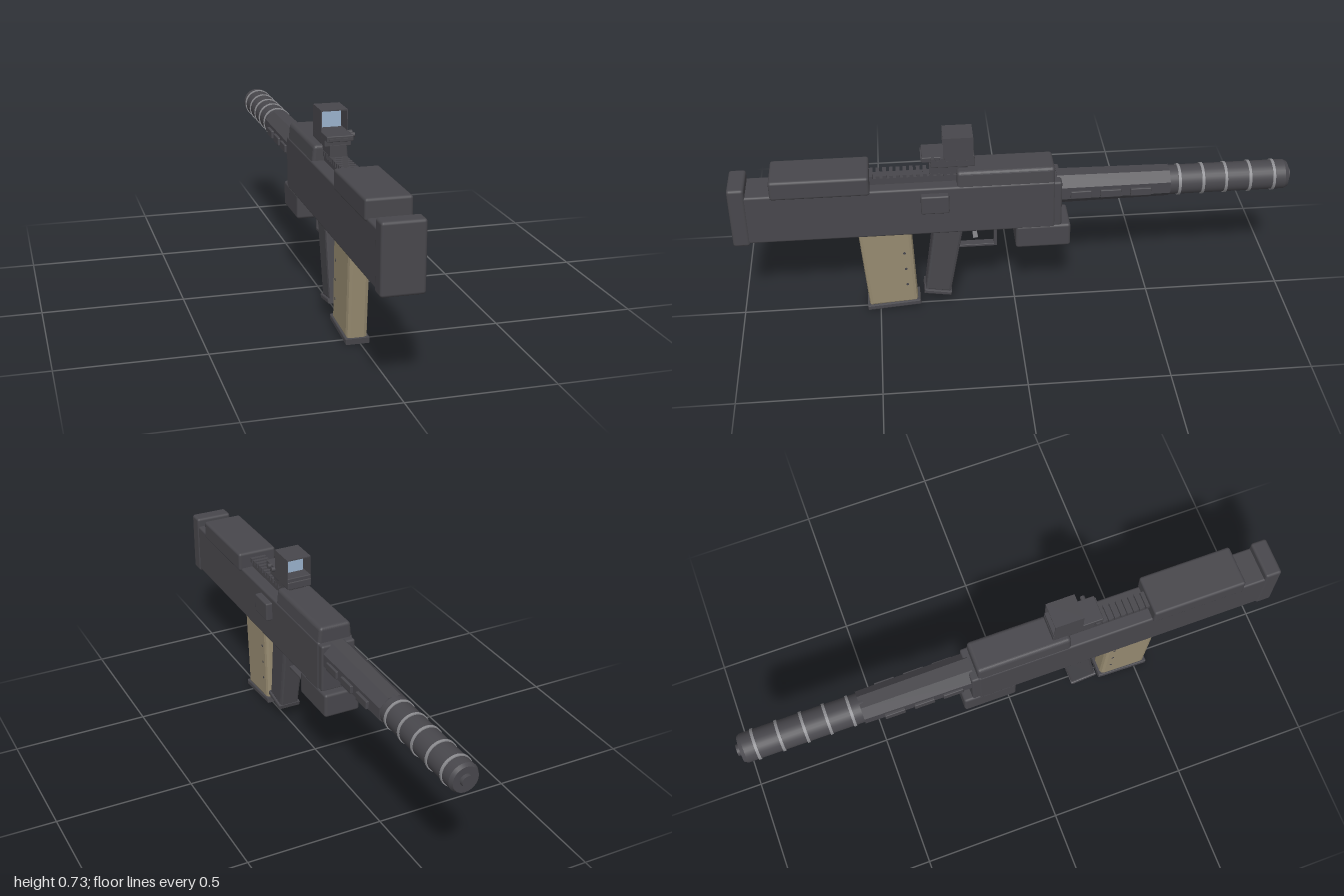
import * as THREE from 'three';
import { RoundedBoxGeometry } from 'three/addons/geometries/RoundedBoxGeometry.js';

const CX = -0.009; // lateral centre line of the main parts

export function createModel() {
  const root = new THREE.Group();
  const mat = (name, color, side = THREE.FrontSide) => {
    const m = new THREE.MeshStandardMaterial({ color, side });
    m.name = name;
    return m;
  };
  const dark = mat('charcoal', 0x48474c);
  const tan = mat('tan', 0x968a70);
  const metal = mat('light metal', 0x8c8c90);
  const glass = mat('lens blue', 0x9ab2cc, THREE.DoubleSide);

  const add = (name, geo, material = dark, parent = root) => {
    const mesh = new THREE.Mesh(geo, material);
    mesh.name = name;
    parent.add(mesh);
    return mesh;
  };
  // box from its limits on each axis, with optional rounding
  const box = (name, x, y, z, r = 0, material = dark, parent = root) => {
    const s = [x, y, z].map(([a, b]) => b - a);
    const geo = r ? new RoundedBoxGeometry(...s, 2, r) : new THREE.BoxGeometry(...s);
    const m = add(name, geo, material, parent);
    m.position.set((x[0] + x[1]) / 2, (y[0] + y[1]) / 2, (z[0] + z[1]) / 2);
    return m;
  };
  // side profile of [z, y] points, extruded across x with bevelled edges
  const sideProfile = (pts, width, bevel) => {
    const shape = new THREE.Shape(pts.map(([z, y]) => new THREE.Vector2(-z, y)));
    const geo = new THREE.ExtrudeGeometry(shape, {
      depth: width - 2 * bevel, bevelEnabled: bevel > 0, bevelSize: bevel,
      bevelThickness: bevel, bevelOffset: -bevel, bevelSegments: 2,
    });
    geo.translate(0, 0, bevel - width / 2);
    geo.rotateY(Math.PI / 2);
    return geo;
  };
  // cylinder or prism lying along z
  const tube = (name, r0, r1, z0, z1, sides = 32, material = dark) => {
    const geo = new THREE.CylinderGeometry(r1, r0, z0 - z1, sides);
    if (sides < 12) geo.rotateY(Math.PI / sides);
    geo.rotateX(-Math.PI / 2);
    const m = add(name, sides < 12 ? flat(geo) : geo, material);
    m.position.set(CX, 0.485, (z0 + z1) / 2);
    return m;
  };
  const flat = (geo) => {
    const g = geo.toNonIndexed();
    g.computeVertexNormals();
    return g;
  };

  // main body
  box('receiver', [-0.077, 0.059], [0.35, 0.542], [-0.14, 0.95], 0.008);
  box('receiverFrontCollar', [-0.074, 0.056], [0.355, 0.538], [-0.165, -0.12], 0.008);
  box('buttPlate', [-0.08, 0.0625], [0.342, 0.575], [0.94, 1.0], 0.01);
  box('cheekRest', [-0.085, 0.068], [0.53, 0.603], [0.51, 0.855], 0.01);
  box('sideCover', [0.05, 0.083], [0.45, 0.522], [0.235, 0.335], 0.006);
  box('foreBlock', [-0.077, 0.06], [0.268, 0.36], [-0.198, 0], 0.01);

  // front top cover, narrowing towards its top
  const cover = new RoundedBoxGeometry(0.132, 0.075, 0.345, 3, 0.012);
  const cp = cover.attributes.position;
  for (let i = 0; i < cp.count; i++) {
    if (cp.getY(i) > 0) cp.setX(i, cp.getX(i) * (1 - cp.getY(i) * 3));
  }
  cover.computeVertexNormals();
  add('frontTopCover', cover).position.set(CX, 0.559, 0.033);

  // accessory rail
  box('railBase', [-0.032, 0.014], [0.53, 0.566], [0.2, 0.515]);
  for (let i = 0; i < 13; i++) {
    const z = 0.215 + i * 0.0235;
    box('railTooth', [-0.039, 0.021], [0.562, 0.58], [z, z + 0.013]);
  }

  // handguard with side plates
  const guard = tube('handguard', 0.064, 0.059, -0.15, -0.555, 8);
  guard.scale.y = 0.96;
  for (const z of [-0.233, -0.339, -0.447]) {
    for (const s of [-1, 1]) {
      const x = CX + s * 0.058;
      box('handguardPlate', [x - 0.008, x + 0.008], [0.465, 0.495], [z - 0.037, z + 0.037], 0.003);
    }
  }

  // ringed barrel shroud and muzzle
  tube('barrelShroud', 0.053, 0.053, -0.54, -0.975);
  tube('muzzleBevel', 0.053, 0.046, -0.975, -0.988);
  tube('muzzleTip', 0.022, 0.02, -0.985, -1.0, 24);
  for (const z of [-0.59, -0.675, -0.758, -0.846, -0.933]) {
    tube('shroudRing', 0.0565, 0.0565, z + 0.005, z - 0.005, 32, metal);
  }

  // sight
  const sight = new THREE.Group();
  sight.name = 'sight';
  root.add(sight);
  const part = (n, x, y, z, r, m = dark) => box(n, x, y, z, r, m, sight);
  part('sightMount', [-0.037, 0.02], [0.575, 0.618], [0.165, 0.3], 0);
  part('sightBase', [-0.055, 0.038], [0.612, 0.642], [0.14, 0.295], 0.004);
  part('sightDeck', [-0.055, 0.038], [0.636, 0.656], [0.142, 0.325], 0.003);
  part('sightRearLip', [-0.048, 0.032], [0.64, 0.648], [0.322, 0.329], 0);
  part('hoodTop', [-0.055, 0.038], [0.724, 0.728], [0.145, 0.25], 0);
  for (const x of [-0.055, 0.035]) {
    part('hoodSide', [x, x + 0.003], [0.65, 0.727], [0.145, 0.25], 0);
  }
  part('lens', [-0.046, 0.03], [0.654, 0.718], [0.19, 0.194], 0, glass);
  for (const z of [0.255, 0.287]) {
    const knob = add('sightKnob', new THREE.CylinderGeometry(0.009, 0.009, 0.018, 16), dark, sight);
    knob.rotation.z = Math.PI / 2;
    knob.position.set(0.042, 0.648, z);
  }

  // magazine with floor plate, collar and side studs
  box('magazineCollar', [-0.054, 0.036], [0.34, 0.36], [0.368, 0.58], 0.004);
  add('magazine', sideProfile([[0.565, 0.36], [0.373, 0.36], [0.36, 0.025], [0.539, 0.015]], 0.073, 0.014), tan)
    .position.x = CX;
  add('magazineFloorPlate', sideProfile([[0.548, 0.022], [0.352, 0.038], [0.35, 0.018], [0.546, 0.002]], 0.084, 0.004))
    .position.x = CX;
  for (const y of [0.25, 0.18, 0.11]) {
    const stud = add('magazineStud', new THREE.CylinderGeometry(0.005, 0.005, 0.075, 12));
    stud.rotation.z = Math.PI / 2;
    stud.position.set(CX, y, 0.402 - (0.25 - y) * 0.04);
  }

  // hand grip, slimmer towards its foot
  const grip = sideProfile([[0.29, 0.37], [0.184, 0.36], [0.238, 0.062], [0.331, 0.078]], 0.088, 0.01);
  const gp = grip.attributes.position;
  for (let i = 0; i < gp.count; i++) {
    gp.setX(i, gp.getX(i) * (0.8 + 0.2 * Math.min(1, gp.getY(i) / 0.28)));
  }
  grip.computeVertexNormals();
  add('handGrip', grip).position.x = CX;
  add('gripFoot', sideProfile([[0.334, 0.085], [0.234, 0.068], [0.238, 0.052], [0.337, 0.068]], 0.088, 0.004))
    .position.x = CX;

  // trigger and its guard
  box('triggerGuardBottom', [-0.024, 0.006], [0.247, 0.257], [0.064, 0.205], 0.002);
  box('triggerGuardFront', [-0.024, 0.006], [0.25, 0.36], [0.064, 0.075], 0.002);
  box('triggerHousing', [-0.03, 0.012], [0.332, 0.36], [0.115, 0.18], 0.003);
  add('trigger', sideProfile([[0.152, 0.345], [0.13, 0.345], [0.137, 0.31], [0.132, 0.282], [0.15, 0.28], [0.153, 0.31]], 0.016, 0.002), metal)
    .position.x = CX;

  return root;
}
